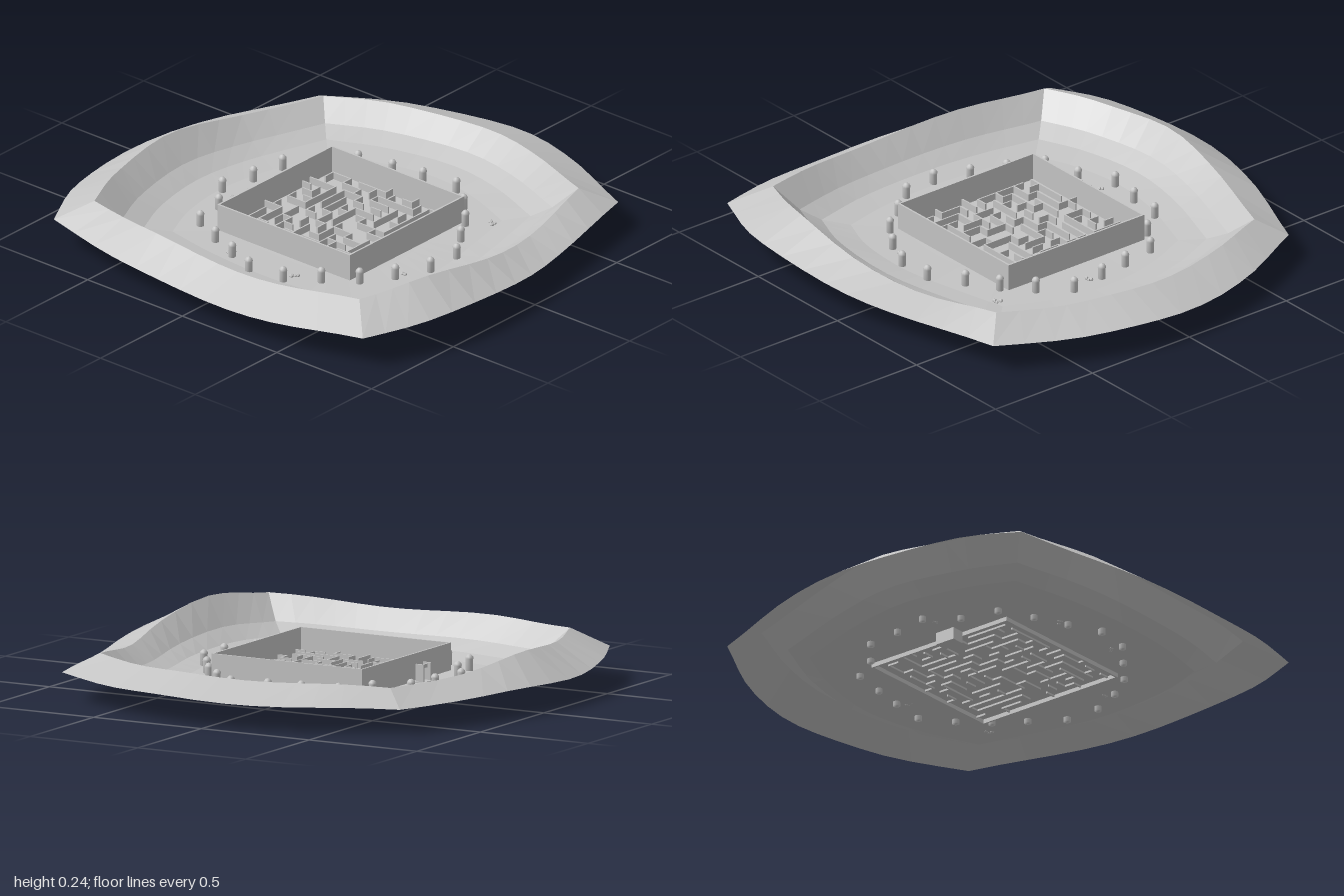
import * as THREE from 'three';
import { mergeGeometries } from 'three/addons/utils/BufferGeometryUtils.js';

const stone = new THREE.MeshStandardMaterial({ color: 0xc4c4c4, side: THREE.DoubleSide });
stone.name = 'stone grey';

const FLOOR = 0.05;
const CX = -0.07, CZ = 0.02;

// Four curved sides per ring, each listed from corner to corner as [x, y, z]
const OUTER = [
  [[-0.86, 0.12, -0.8], [-0.58, 0.12, -0.93], [-0.2, 0.105, -1], [0.25, 0.11, -0.925], [0.71, 0.1, -0.75]],
  [[0.71, 0.1, -0.75], [0.9, 0.105, -0.38], [0.985, 0.11, 0.03], [0.92, 0.11, 0.4], [0.74, 0.115, 0.8]],
  [[0.74, 0.115, 0.8], [0.3, 0.105, 0.905], [-0.1, 0.125, 0.985], [-0.55, 0.145, 0.975], [-0.88, 0.13, 0.85]],
  [[-0.88, 0.13, 0.85], [-0.965, 0.11, 0.5], [-0.99, 0.1, 0.1], [-0.95, 0.105, -0.35], [-0.86, 0.12, -0.8]],
];
const RIM = [
  [[-0.75, 0.2, -0.68], [-0.5, 0.2, -0.78], [-0.16, 0.215, -0.83], [0.2, 0.18, -0.785], [0.615, 0.165, -0.65]],
  [[0.615, 0.165, -0.65], [0.74, 0.175, -0.35], [0.805, 0.175, 0.03], [0.75, 0.175, 0.37], [0.625, 0.185, 0.69]],
  [[0.625, 0.185, 0.69], [0.28, 0.15, 0.765], [-0.1, 0.19, 0.835], [-0.5, 0.24, 0.81], [-0.75, 0.215, 0.72]],
  [[-0.75, 0.215, 0.72], [-0.82, 0.195, 0.4], [-0.84, 0.19, 0.05], [-0.81, 0.205, -0.35], [-0.75, 0.2, -0.68]],
];

function sampleRing(sides, n = 14) {
  const ring = [];
  for (const side of sides) {
    const curve = new THREE.CatmullRomCurve3(side.map((p) => new THREE.Vector3(...p)));
    for (let i = 0; i < n; i++) {
      const p = curve.getPoint(i / n);
      p.y += 0.004 * Math.sin((i / n) * Math.PI * 4);
      ring.push(p);
    }
  }
  return ring;
}

// Bowl of faceted terrain: outer skirt, ridge, inner slope, level floor
function terrainGeometry() {
  const rim = sampleRing(RIM);
  const rings = [sampleRing(OUTER), rim];
  for (const [s, lift] of [[0.89, 0.4], [0.8, 0.14], [0.68, 0.03], [0.45, 0], [0, 0]]) {
    rings.push(rim.map((p) => new THREE.Vector3(
      CX + (p.x - CX) * s, FLOOR + (p.y - FLOOR) * lift, CZ + (p.z - CZ) * s)));
  }
  const n = rim.length, pos = [], index = [];
  rings.forEach((r) => r.forEach((p) => pos.push(p.x, p.y, p.z)));
  for (let r = 0; r < rings.length - 1; r++) {
    for (let i = 0; i < n; i++) {
      const a = r * n + i, b = r * n + (i + 1) % n, c = a + n, d = b + n;
      index.push(a, c, b);
      if (r < rings.length - 2) index.push(b, c, d);
    }
  }
  let g = new THREE.BufferGeometry();
  g.setAttribute('position', new THREE.Float32BufferAttribute(pos, 3));
  g.setIndex(index);
  g = g.toNonIndexed();
  g.computeVertexNormals();
  return g;
}

// Box given by its extents
function box(x0, x1, y0, y1, z0, z1) {
  return new THREE.BoxGeometry(x1 - x0, y1 - y0, z1 - z0)
    .translate((x0 + x1) / 2, (y0 + y1) / 2, (z0 + z1) / 2);
}

function random(seed) {
  return () => (seed = (seed * 16807) % 2147483647) / 2147483647;
}

const X0 = -0.393, X1 = 0.3, Z0 = -0.332, Z1 = 0.36, T = 0.004;

function outerWallGeometry() {
  const y0 = 0.033, y1 = 0.163;
  return mergeGeometries([
    box(X0 - T, X1 + T, y0, y1, Z0 - T, Z0 + T),
    box(X0 - T, X1 + T, y0, y1, Z1 - T, Z1 + T),
    box(X0 - T, X0 + T, y0, y1, Z0 + T, Z1 - T),
    box(X1 - T, X1 + T, y0, y1, Z0 + T, Z1 - T),
  ]);
}

// Low passages carved by a seeded depth-first walk
function mazeGeometry() {
  const N = 15, cell = (X1 - X0) / N, rnd = random(77), t = 0.003;
  const seen = new Set([0]), open = new Set(), stack = [0];
  while (stack.length) {
    const c = stack[stack.length - 1], x = c % N, z = Math.floor(c / N);
    const next = [[1, 0], [-1, 0], [0, 1], [0, -1]]
      .filter(([i, j]) => x + i >= 0 && x + i < N && z + j >= 0 && z + j < N)
      .map(([i, j]) => (z + j) * N + x + i).filter((k) => !seen.has(k));
    if (!next.length) { stack.pop(); continue; }
    const k = next[Math.floor(rnd() * next.length)];
    open.add(Math.min(c, k) + '-' + Math.max(c, k));
    seen.add(k);
    stack.push(k);
  }
  const parts = [];
  for (let z = 0; z < N; z++) {
    for (let x = 0; x < N; x++) {
      const c = z * N + x, px = X0 + x * cell, pz = Z0 + z * cell;
      if (x < N - 1 && !open.has(c + '-' + (c + 1)) && rnd() < 0.88)
        parts.push(box(px + cell - t, px + cell + t, 0.042, 0.08, pz - t, pz + cell + t));
      if (z < N - 1 && !open.has(c + '-' + (c + N)) && rnd() < 0.88)
        parts.push(box(px - t, px + cell + t, 0.042, 0.08, pz + cell - t, pz + cell + t));
    }
  }
  return mergeGeometries(parts);
}

// Round bollard with a domed cap, foot sunk below the floor
function pillarGeometry() {
  const profile = [[0, 0.035], [0.015, 0.035], [0.015, 0.1], [0.017, 0.102], [0.015, 0.11], [0.009, 0.117], [0, 0.12]];
  return new THREE.LatheGeometry(profile.map((p) => new THREE.Vector2(...p)), 10);
}

const PILLARS = [
  [-0.13, -0.54], [0.025, -0.51], [0.18, -0.49], [0.28, -0.37], [0.405, -0.285], [0.435, -0.13],
  [0.46, 0.01], [0.48, 0.17], [0.385, 0.29], [0.28, 0.39], [0.16, 0.47], [0.03, 0.56],
  [-0.13, 0.56], [-0.27, 0.495], [-0.39, 0.41], [-0.485, 0.29], [-0.58, 0.17], [-0.605, 0.01],
  [-0.545, -0.13], [-0.485, -0.27], [-0.415, -0.41], [-0.255, -0.45],
];
const ROCKS = [[-0.145, -0.47], [-0.525, -0.15], [-0.52, 0.18], [0.437, 0.06], [0.355, 0.46], [-0.21, 0.493]];

export function createModel() {
  const model = new THREE.Group();
  model.name = 'mazeInBasin';
  const add = (name, geometry, x = 0, y = 0, z = 0) => {
    const mesh = new THREE.Mesh(geometry, stone);
    mesh.name = name;
    mesh.position.set(x, y, z);
    model.add(mesh);
  };

  add('terrainBasin', terrainGeometry());
  add('outerWall', outerWallGeometry());
  add('mazeWalls', mazeGeometry());

  // Gate behind the maze: deep base, two posts and a crossbar
  add('gateBase', box(-0.17, -0.08, 0, 0.054, -0.395, -0.337));
  for (const x of [-0.15, -0.093]) add('gatePost', box(x - 0.004, x + 0.004, 0.05, 0.125, -0.388, -0.352));
  add('gateLintel', box(-0.15, -0.093, 0.105, 0.12, -0.374, -0.366));

  const pillar = pillarGeometry();
  for (const [x, z] of PILLARS) add('pillar', pillar, x, 0, z);

  // Small clusters of loose stones
  const rnd = random(5);
  for (const [x, z] of ROCKS) {
    for (let i = 0; i < 3; i++) {
      add('looseStone', new THREE.IcosahedronGeometry(0.007 + rnd() * 0.004, 0),
        x + (rnd() - 0.5) * 0.03, FLOOR + 0.006, z + (rnd() - 0.5) * 0.03);
    }
  }
  return model;
}
